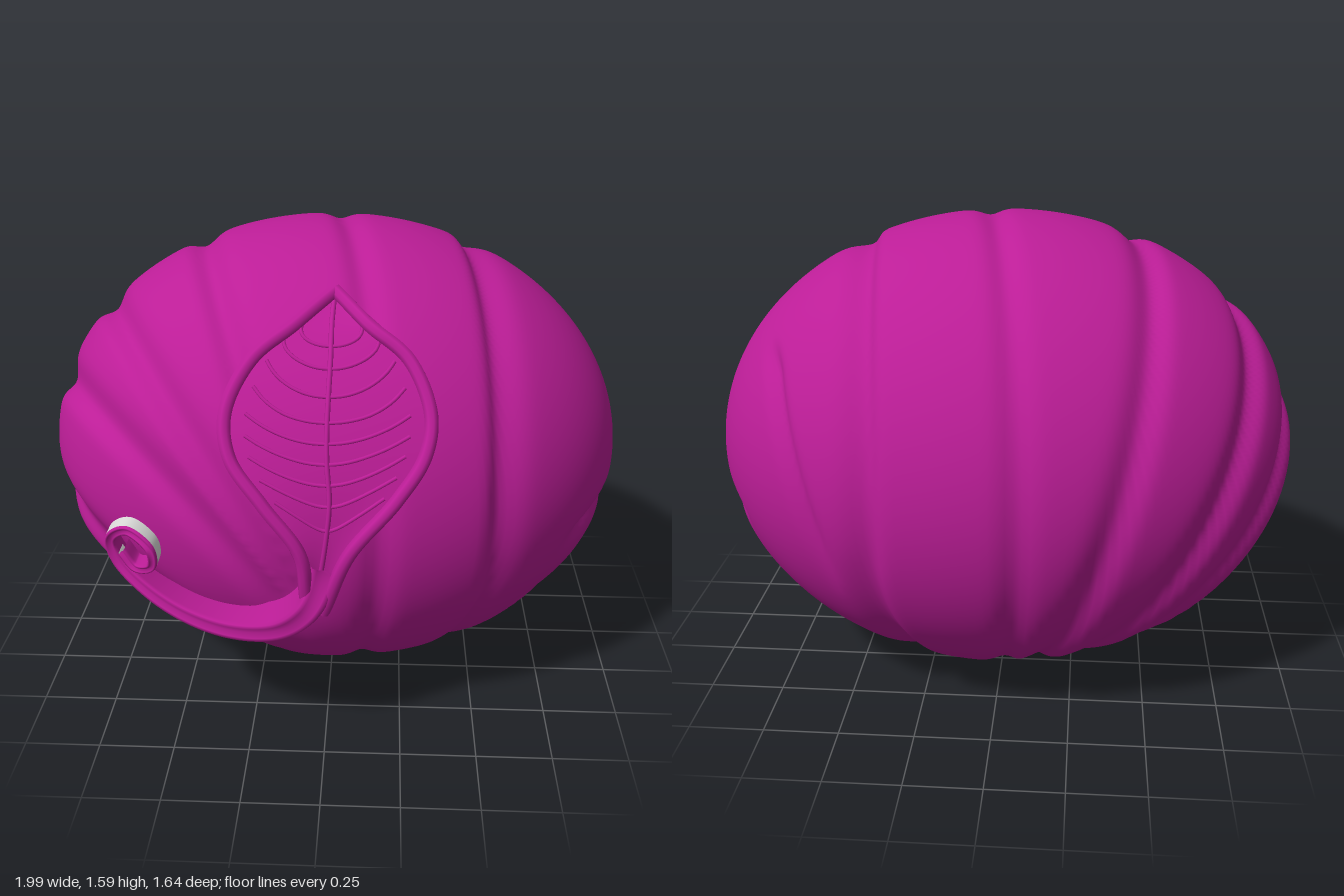
import * as THREE from 'three';
import { mergeVertices } from 'three/addons/utils/BufferGeometryUtils.js';

const CY = 0.795, CZ = -0.045, RX = 0.995, RY = 0.8, RZ = 0.775;
const magenta = new THREE.MeshStandardMaterial({ color: 0xbc1d97, side: THREE.DoubleSide });
magenta.name = 'magenta';
const grey = new THREE.MeshStandardMaterial({ color: 0xdcdcda, side: THREE.DoubleSide });
grey.name = 'lightGrey';

const { smoothstep, lerp, degToRad } = THREE.MathUtils;
const bump = (d, w) => Math.exp(-(d * d) / (w * w));

// Front surface height of the body at (x, y)
const bodyZ = (x, y) =>
  CZ + RZ * Math.sqrt(Math.max(0, 1 - (x / RX) ** 2 - ((y - CY) / RY) ** 2));

// Depth of the folds at a point of the body
const UPPER = [18.4, 33.7, 45.2].map(degToRad);
const LOWER = [[54.7, 56], [61.5, 64.5], [67.5, 70]].map((p) => p.map(degToRad));
const TILT = degToRad(35);
function foldDepth(x, y, z) {
  let depth = 0;
  // folds in planes that meet in a tangent line at the lower front
  const q = (y - 0.137) * Math.cos(TILT) - (z - 0.4) * Math.sin(TILT);
  const r = Math.hypot(x, q), angle = Math.atan2(-x, q);
  const fade = smoothstep(r, 0.04, 0.25);
  const fold = (d, f) => {
    // steep on the lower side, soft on the upper one
    depth = Math.max(depth, 0.036 * f * bump(d, d > 0 ? 0.035 : 0.065));
  };
  for (const a of UPPER) fold((angle - a) * r, fade);
  // the lower folds run flatter across the front
  const r2 = Math.hypot(x, y);
  const angle2 = Math.atan2(-x, y) + 0.15 * ((z - CZ) / RZ) ** 2;
  const front = smoothstep(z, -0.2, 0.15);
  const fade2 = lerp(fade, smoothstep(r2, 0.12, 0.4), front);
  for (const [a, b] of LOWER) fold(lerp((angle - a) * r, (angle2 - b) * r2, front), fade2);
  // slanted fold across the middle
  const mid = x - (0.05 + 0.17 * z);
  depth = Math.max(depth, 0.025 * bump(mid, 0.045));
  // ring fold that borders the smooth cap
  const ring = x - (0.475 + 0.13 * z - 0.7 * Math.max(0, 0.6 - y) ** 2);
  depth = Math.max(depth, 0.036 * bump(ring, ring > 0 ? 0.06 : 0.035));
  // short folds on the cap
  if (x > 0.4) {
    [[0.70, 0.37], [0.44, 0.36], [0.31, 0.28]].forEach(([y0, half]) => {
      const d = y - (y0 - 0.5 * z * z);
      const f = 1 - smoothstep(Math.abs(z), half - 0.1, half + 0.06);
      depth = Math.max(depth, 0.035 * f * bump(d, d > 0 ? 0.03 : 0.06));
    });
    const d = x - (0.72 - 0.3 * (1.2 - y));
    const f = smoothstep(-z, 0.3, 0.42) * smoothstep(y, 0.4, 0.75) * (1 - smoothstep(y, 1.15, 1.25));
    depth = Math.max(depth, 0.025 * f * bump(d, 0.03));
  }
  return depth;
}

function makeBody() {
  let geo = new THREE.SphereGeometry(1, 240, 180);
  geo.deleteAttribute('uv');
  geo.deleteAttribute('normal');
  geo = mergeVertices(geo, 1e-5);
  const p = geo.attributes.position;
  for (let i = 0; i < p.count; i++) {
    const x = p.getX(i), y = p.getY(i), z = p.getZ(i);
    const k = 1 - foldDepth(x * RX, CY + y * RY, CZ + z * RZ);
    p.setXYZ(i, x * RX * k, CY + y * RY * k, CZ + z * RZ * k);
  }
  geo.computeVertexNormals();
  return geo;
}

// Surface through rows of points
function loft(rows) {
  const n = rows[0].length, pos = [], idx = [];
  rows.forEach((row) => row.forEach((v) => pos.push(v.x, v.y, v.z)));
  for (let i = 0; i < rows.length - 1; i++)
    for (let j = 0; j < n - 1; j++) {
      const a = i * n + j, b = a + n;
      idx.push(a, a + 1, b, a + 1, b + 1, b);
    }
  const geo = new THREE.BufferGeometry();
  geo.setAttribute('position', new THREE.Float32BufferAttribute(pos, 3));
  geo.setIndex(idx);
  geo.computeVertexNormals();
  return geo;
}

const curve2 = (pts) =>
  new THREE.CatmullRomCurve3(pts.map(([x, y]) => new THREE.Vector3(x, y, 0)), false, 'centripetal');
const onBody = (x, y, lift) => new THREE.Vector3(x, y, bodyZ(x, y) + lift);
const steps = (n, f) => Array.from({ length: n + 1 }, (_, i) => f(i / n));
const tube = (pts, r, seg) => new THREE.TubeGeometry(new THREE.CatmullRomCurve3(pts), seg, r, 8);

export function createModel() {
  const model = new THREE.Group();
  const add = (parent, name, geo, mat = magenta) => {
    const m = new THREE.Mesh(geo, mat);
    m.name = name;
    parent.add(m);
  };
  add(model, 'body', makeBody());

  // Leaf: edges run from the stem to the tip
  const leaf = new THREE.Group();
  leaf.name = 'leaf';
  model.add(leaf);
  const edges = [
    curve2([[-0.05, 0.6], [-0.07, 0.78], [-0.18, 0.93], [-0.28, 1.06], [-0.295, 1.18], [-0.22, 1.32], [-0.09, 1.41], [0.02, 1.475]]),
    curve2([[0.0, 0.56], [0.08, 0.78], [0.22, 0.95], [0.3, 1.07], [0.315, 1.18], [0.25, 1.32], [0.12, 1.41], [0.02, 1.475]]),
  ];
  // s runs from -1 at one edge to 1 at the other
  const leafPoint = (t, s, lift = 0) => {
    const a = edges[0].getPoint(t), b = edges[1].getPoint(t), k = (s + 1) / 2;
    const base = lerp(0.06, 0.015, smoothstep(t, 0.8, 1));
    return onBody(lerp(a.x, b.x, k), lerp(a.y, b.y, k), base - 0.015 * (1 - s * s) + lift);
  };
  add(leaf, 'leafBlade', loft(steps(40, (t) => steps(12, (k) => leafPoint(t, k * 2 - 1)))));
  const side = (s, t0, t1) => loft(steps(16, (k) => {
    const top = leafPoint(lerp(t0, t1, k), s);
    return [top, new THREE.Vector3(top.x, top.y, top.z - 0.08)];
  }));
  add(leaf, 'leafSide', side(-1, 0, 1));
  add(leaf, 'leafSide', side(1, 0, 0.18));
  add(leaf, 'leafUnderside', side(1, 0.18, 0.4), grey);
  add(leaf, 'leafSide', side(1, 0.4, 1));
  for (const s of [-1, 1]) {
    add(leaf, 'leafRim', tube(steps(40, (t) => leafPoint(t, s, 0.008)), 0.022, 80));
    // side veins rise from the midrib to the rim
    for (let i = 0; i < 9; i++) {
      const t = 0.2 + i * 0.07;
      add(leaf, 'sideVein', tube(steps(6, (k) => leafPoint(t + 0.09 * k * k, s * k * 0.8, -0.001)), 0.006, 12));
    }
  }
  add(leaf, 'midrib', tube(steps(20, (t) => leafPoint(t, 0)), 0.008, 40));

  // Tendril: a ribbon with a rounded face that ends in an open curl
  const path = curve2([
    [0.005, 0.72], [-0.015, 0.64], [-0.055, 0.57], [-0.15, 0.49], [-0.3, 0.46], [-0.45, 0.485], [-0.58, 0.55],
    [-0.67, 0.63], [-0.69, 0.71], [-0.62, 0.77], [-0.545, 0.73], [-0.545, 0.66], [-0.605, 0.632], [-0.65, 0.68],
  ]);
  const face = [], wall = [];
  const N = 120;
  for (let i = 0; i <= N; i++) {
    const t = i / N, c = path.getPoint(t), d = path.getTangent(t);
    const w = lerp(0.042, 0.015, smoothstep(t, 0, 0.75));
    const lift = lerp(0.11, 0.095, smoothstep(t, 0.25, 0.6)) - 0.055 * (1 - smoothstep(t, 0, 0.2));
    const depth = lerp(0.12, 0.06, smoothstep(t, 0.2, 0.65));
    const z = bodyZ(c.x, c.y) + lift;
    const at = (s, dz) => new THREE.Vector3(c.x - d.y * w * s, c.y + d.x * w * s, z + dz);
    face.push([at(1, 0), at(0.85, 0.012), at(0.5, 0.013), at(0, 0.004), at(-0.5, 0.013), at(-0.85, 0.012), at(-1, 0), at(-1, -depth)]);
    wall.push([at(1, -depth), at(1, 0)]);
  }
  const tendril = new THREE.Group();
  tendril.name = 'tendril';
  model.add(tendril);
  add(tendril, 'tendrilFace', loft(face));
  add(tendril, 'tendrilStemWall', loft(wall.slice(0, 19)));
  add(tendril, 'tendrilOuterWall', loft(wall.slice(18)), grey);
  return model;
}
